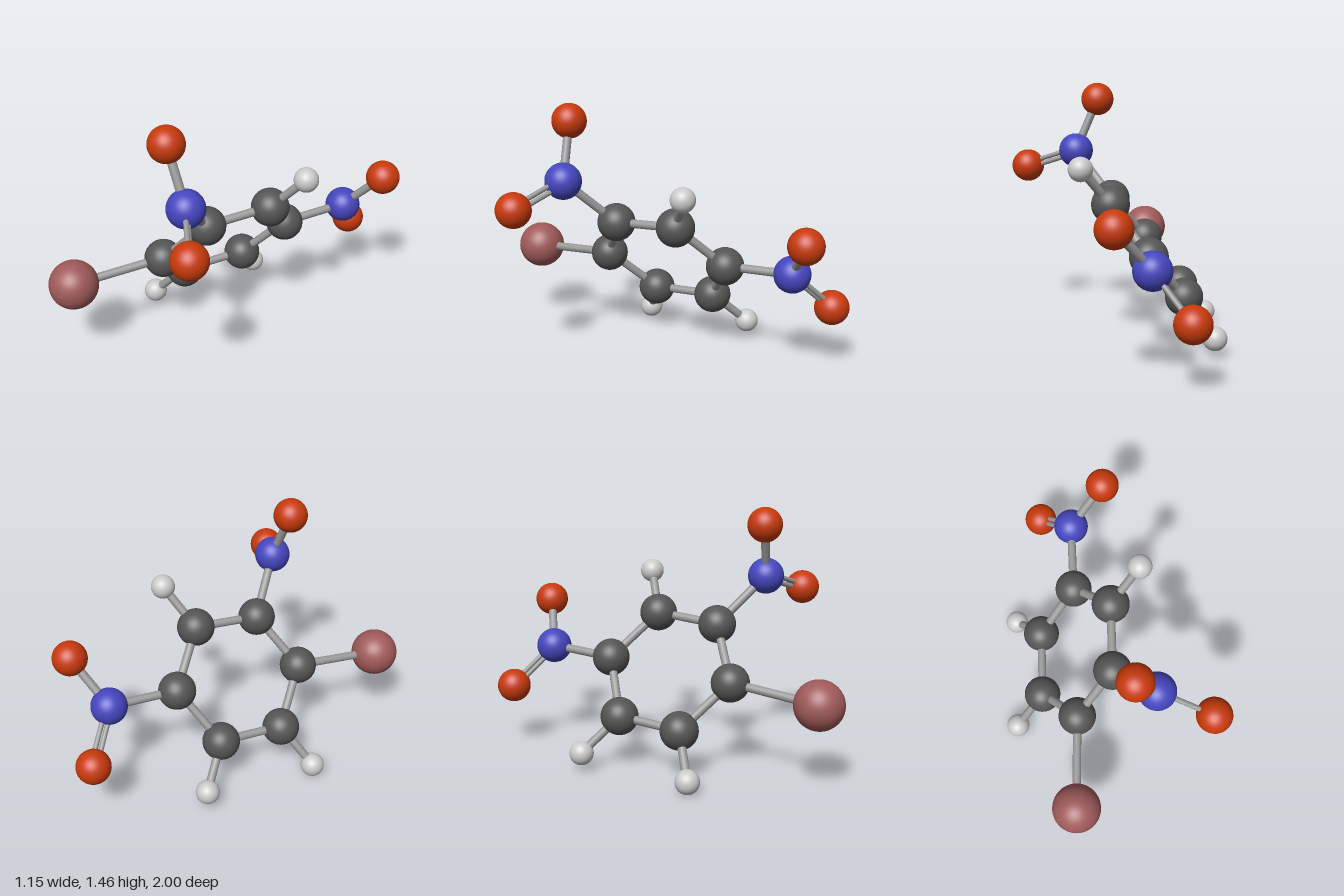
import * as THREE from 'three';

// Elements: sphere radius and colour
const ELEMENTS = {
  carbon: { radius: 0.107, color: 0x555555 },
  hydrogen: { radius: 0.068, color: 0xcccccc },
  nitrogen: { radius: 0.102, color: 0x4646c0 },
  oxygen: { radius: 0.097, color: 0xc83a0c },
  bromine: { radius: 0.136, color: 0xa05a5a },
};

// Atom centres: key -> [element, x, y, z]
const ATOMS = {
  c1: ['carbon', 0.048, 0.799, 0.309],
  c2: ['carbon', 0.202, 0.826, -0.04],
  c3: ['carbon', 0.094, 0.576, -0.307],
  c4: ['carbon', -0.164, 0.304, -0.223],
  c5: ['carbon', -0.313, 0.282, 0.126],
  c6: ['carbon', -0.207, 0.53, 0.396],
  h2: ['hydrogen', 0.399, 1.039, -0.098],
  h4: ['hydrogen', -0.251, 0.108, -0.427],
  h5: ['hydrogen', -0.513, 0.07, 0.186],
  br: ['bromine', -0.427, 0.489, 0.864],
  n1: ['nitrogen', 0.166, 1.06, 0.578],
  o1a: ['oxygen', 0.029, 1.366, 0.564],
  o1b: ['oxygen', 0.4, 0.956, 0.797],
  n3: ['nitrogen', 0.247, 0.598, -0.676],
  o3a: ['oxygen', 0.477, 0.836, -0.733],
  o3b: ['oxygen', 0.139, 0.373, -0.903],
};

const SINGLE_BONDS = [
  ['c1', 'c2'], ['c2', 'c3'], ['c3', 'c4'], ['c4', 'c5'], ['c5', 'c6'], ['c6', 'c1'],
  ['c2', 'h2'], ['c4', 'h4'], ['c5', 'h5'], ['c6', 'br'],
  ['c1', 'n1'], ['n1', 'o1a'], ['c3', 'n3'], ['n3', 'o3a'],
];

// Third atom fixes the plane in which the two rods lie side by side
const DOUBLE_BONDS = [['n1', 'o1b', 'o1a'], ['n3', 'o3b', 'o3a']];

const UP = new THREE.Vector3(0, 1, 0);
const position = (key) => new THREE.Vector3(...ATOMS[key].slice(1));

function rod(from, to, radius, material, name) {
  const along = to.clone().sub(from);
  const mesh = new THREE.Mesh(
    new THREE.CylinderGeometry(radius, radius, along.length(), 20), material);
  mesh.position.copy(from).add(to).multiplyScalar(0.5);
  mesh.quaternion.setFromUnitVectors(UP, along.normalize());
  mesh.name = name;
  return mesh;
}

export function createModel() {
  const model = new THREE.Group();
  model.name = 'molecule';

  // Atoms
  const atoms = new THREE.Group();
  atoms.name = 'atoms';
  const parts = {};
  for (const [element, { radius, color }] of Object.entries(ELEMENTS)) {
    parts[element] = {
      geometry: new THREE.SphereGeometry(radius, 40, 28),
      material: new THREE.MeshStandardMaterial({ color }),
    };
  }
  for (const [element, x, y, z] of Object.values(ATOMS)) {
    const atom = new THREE.Mesh(parts[element].geometry, parts[element].material);
    atom.position.set(x, y, z);
    atom.name = `${element}Atom`;
    atoms.add(atom);
  }

  // Single bonds
  const bonds = new THREE.Group();
  bonds.name = 'bonds';
  const bondMaterial = new THREE.MeshStandardMaterial({ color: 0x999999 });
  for (const [a, b] of SINGLE_BONDS) {
    bonds.add(rod(position(a), position(b), 0.024, bondMaterial, 'singleBond'));
  }

  // Double bonds: two thinner parallel rods
  for (const [a, b, c] of DOUBLE_BONDS) {
    const from = position(a);
    const to = position(b);
    const axis = to.clone().sub(from).normalize();
    const side = position(c).sub(from);
    side.addScaledVector(axis, -side.dot(axis)).setLength(0.016);
    for (const sign of [-1, 1]) {
      const shift = side.clone().multiplyScalar(sign);
      bonds.add(rod(from.clone().add(shift), to.clone().add(shift), 0.014, bondMaterial, 'doubleBondRod'));
    }
  }

  model.add(atoms, bonds);
  return model;
}
